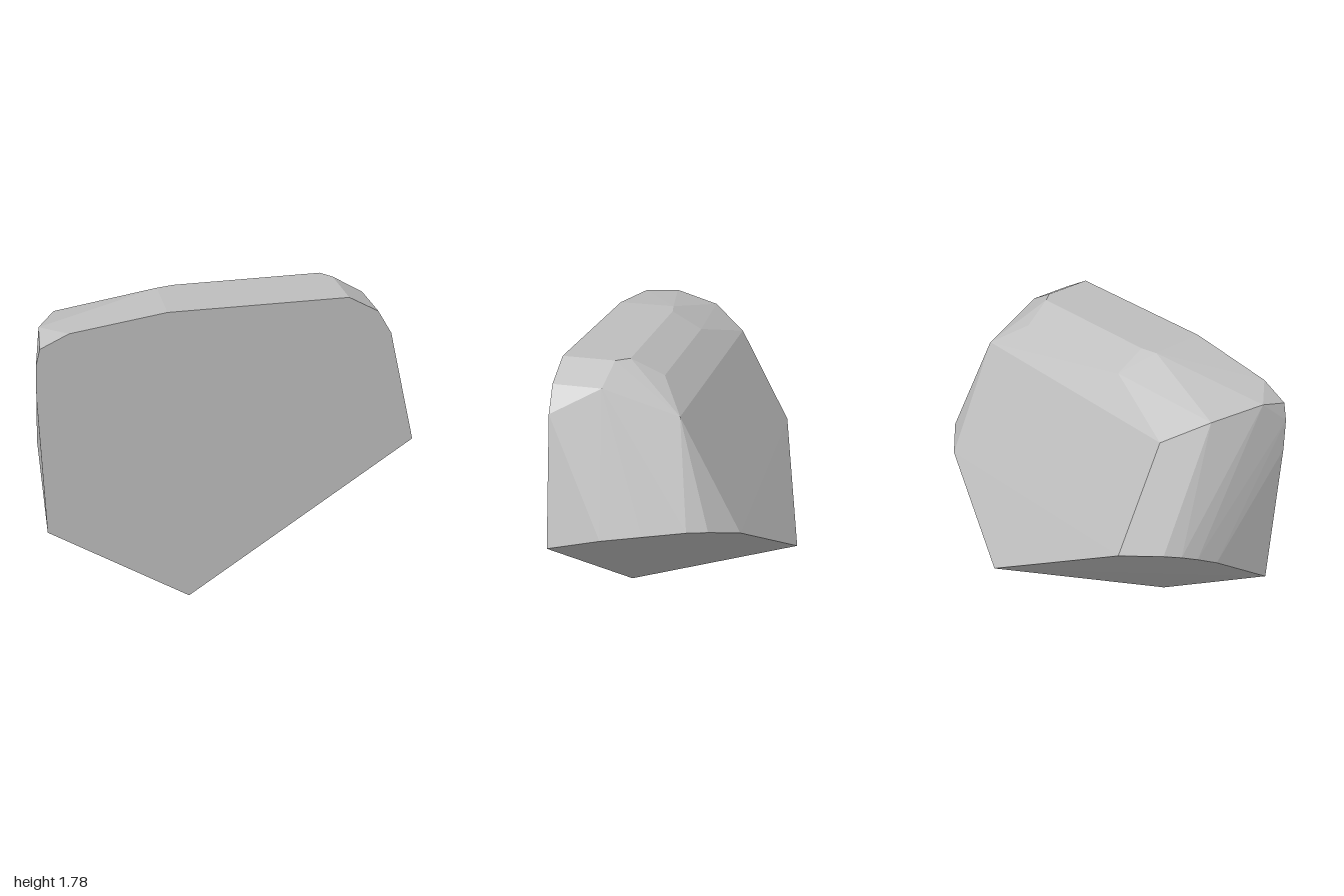
import * as THREE from 'three';
import { ConvexGeometry } from 'three/addons/geometries/ConvexGeometry.js';

// The cut front face lies on one gently leaning plane.
const onFront = ([x, y]) => [x, y, 0.52 + 0.029 * y + 0.01 * x];

export function createModel() {
  const stone = new THREE.MeshStandardMaterial({ color: 0xbebebe });
  stone.name = 'stoneGrey';

  // Outline of the flat front face
  const front = [
    [-0.24, 0], [1, 0.9], [0.82, 1.56], [0.74, 1.69], [0.58, 1.78], [-0.34, 1.78],
    [-0.82, 1.71], [-0.965, 1.64], [-0.99, 1.55], [-1, 1.38], [-1, 0.55],
  ].map(onFront);

  // Rim of the two slanted undersides, from left round the back to the right
  const underRim = [
    [-1, 0.867, 0.1], [-0.98, 0.943, -0.03], [-0.95, 0.984, -0.12], [-0.9, 1.003, -0.2],
    [-0.73, 0.988, -0.355], [0.05, 0.55, -0.57], [0.67, 0.94, -0.37], [0.83, 1.01, -0.24],
    [0.88, 1.02, -0.14], [0.94, 1.0, 0.07], [0.98, 0.97, 0.28],
  ];

  // Worn ridges stepping from the back face up to the top
  const ridges = [
    [-0.71, 1.54, -0.07], [0.68, 1.555, -0.06],
    [-0.25, 1.69, 0.07], [0.49, 1.69, 0.07],
    [-0.34, 1.78, 0.255], [-0.25, 1.78, 0.235], [0.53, 1.78, 0.235], [0.58, 1.78, 0.3],
    [0.74, 1.69, 0.32],
  ];

  // Rounded upper corner on the -x side
  const corner = [[-0.86, 1.645, 0.13], [-0.955, 1.685, 0.4]];

  const points = [...front, ...underRim, ...ridges, ...corner].map((p) => new THREE.Vector3(...p));
  const rock = new THREE.Mesh(new ConvexGeometry(points), stone);
  rock.name = 'rockChunk';

  const group = new THREE.Group();
  group.name = 'rock';
  group.add(rock);
  return group;
}
